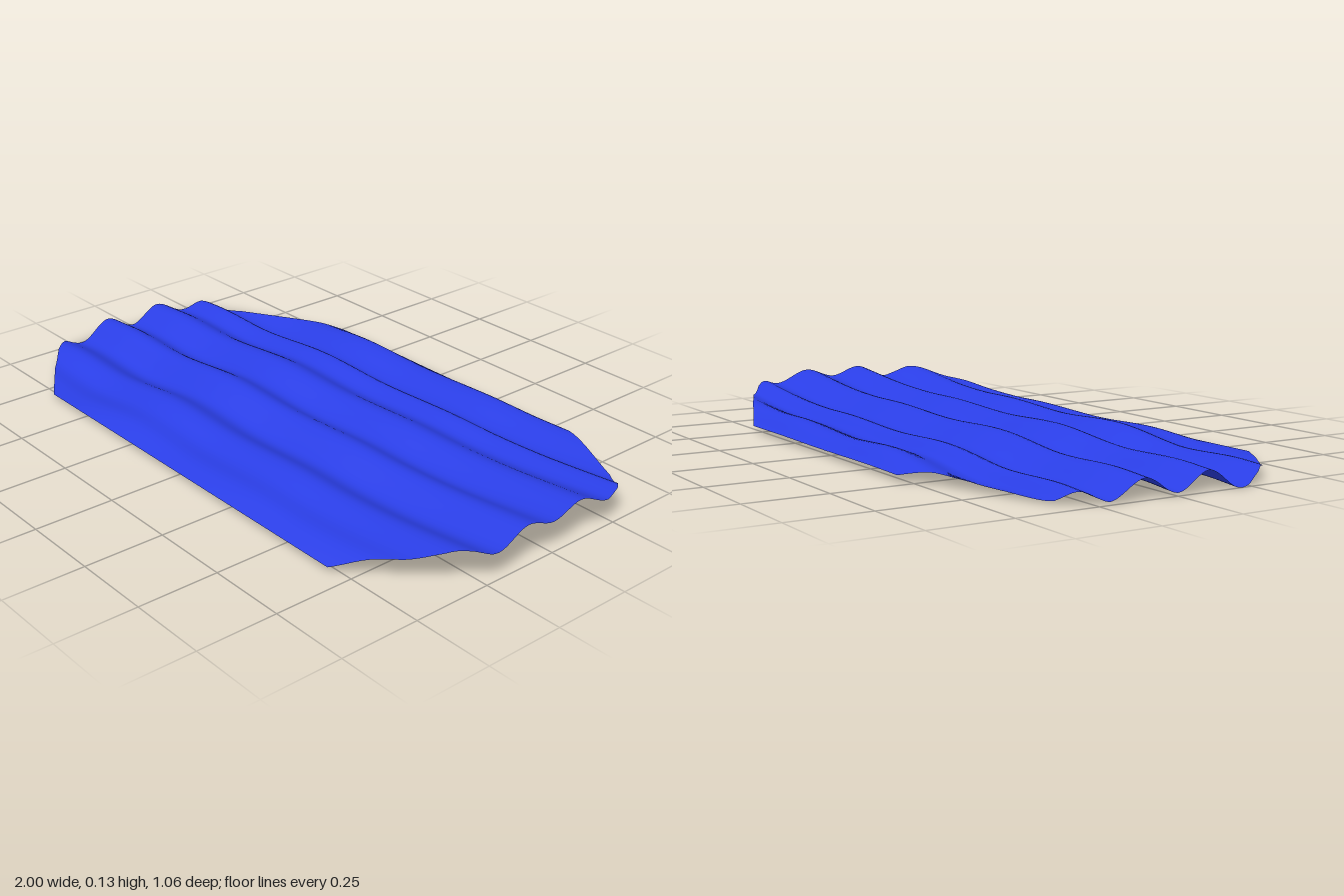
import * as THREE from 'three';

// Smooth cubic interpolation through knots [position, value] in rising order
function smooth(knots, t) {
  const n = knots.length;
  let i = 0;
  while (i < n - 2 && t > knots[i + 1][0]) i++;
  const slope = (k) => {
    const a = knots[Math.max(k - 1, 0)], b = knots[Math.min(k + 1, n - 1)];
    return (b[1] - a[1]) / (b[0] - a[0]);
  };
  const [x0, y0] = knots[i], [x1, y1] = knots[i + 1];
  const h = x1 - x0, u = (t - x0) / h, u2 = u * u, u3 = u2 * u;
  return (2 * u3 - 3 * u2 + 1) * y0 + (u3 - 2 * u2 + u) * h * slope(i)
    + (3 * u2 - 2 * u3) * y1 + (u3 - u2) * h * slope(i + 1);
}

// Straight interpolation, used for the outline
function linear(knots, t) {
  let i = 0;
  while (i < knots.length - 2 && t > knots[i + 1][0]) i++;
  const [a, b] = [knots[i], knots[i + 1]];
  return THREE.MathUtils.mapLinear(t, a[0], b[0], a[1], b[1]);
}

// Corrugation: z, height at the low end (-x), height at the high end (+x)
const WAVES = [
  [-0.53, 0.018, 0.03], [-0.46, 0.03, 0.11], [-0.345, 0, 0.075], [-0.285, 0.035, 0.1],
  [-0.215, 0.01, 0.085], [-0.105, 0.06, 0.126], [0, 0.01, 0.098], [0.105, 0.06, 0.126],
  [0.21, 0.001, 0.085], [0.315, 0.04, 0.12], [0.4, 0.012, 0.1], [0.47, 0.018, 0.083],
  [0.53, 0.02, 0.02],
];
const LOW = WAVES.map(([z, low]) => [z, low]);
const HIGH = WAVES.map(([z, , high]) => [z, high]);

// Uneven rise of the sheet from the low end to the high end
const RISE = [[-1, 0], [-0.85, 0.12], [-0.6, 0.06], [-0.3, 0.42], [0, 0.32],
  [0.3, 0.47], [0.5, 0.47], [0.7, 0.6], [1, 1]];

// Outline: x limits of the sheet for each z
const RIGHT_EDGE = [[-0.53, -0.46], [-0.47, -0.56], [-0.37, -0.84], [-0.33, -0.92],
  [-0.28, -0.97], [-0.22, -1], [0.24, -1], [0.29, -0.98], [0.35, -0.93], [0.42, -0.84], [0.53, -0.67]];
const LEFT_EDGE = [[-0.53, 0.5], [-0.47, 0.64], [-0.36, 0.89], [-0.31, 0.96],
  [-0.27, 0.99], [-0.22, 1], [0.24, 1], [0.3, 0.98], [0.35, 0.94], [0.42, 0.86], [0.53, 0.69]];

export function createModel() {
  const group = new THREE.Group();
  group.name = 'corrugatedSheet';

  // Grid bent into waves and fitted to the outline
  const geometry = new THREE.PlaneGeometry(2, 1.06, 64, 106).rotateX(-Math.PI / 2);
  const pos = geometry.attributes.position;
  for (let i = 0; i < pos.count; i++) {
    const z = pos.getZ(i);
    const x = THREE.MathUtils.lerp(linear(RIGHT_EDGE, z), linear(LEFT_EDGE, z), (pos.getX(i) + 1) / 2);
    const y = THREE.MathUtils.lerp(smooth(LOW, z), smooth(HIGH, z), smooth(RISE, x));
    pos.setXYZ(i, x, Math.max(y, 0), z);
  }
  geometry.computeVertexNormals();

  const sheet = new THREE.Mesh(geometry, new THREE.MeshStandardMaterial({
    color: 0x2a3ee6, side: THREE.DoubleSide,
  }));
  sheet.name = 'wavySheet';
  group.add(sheet);
  return group;
}
